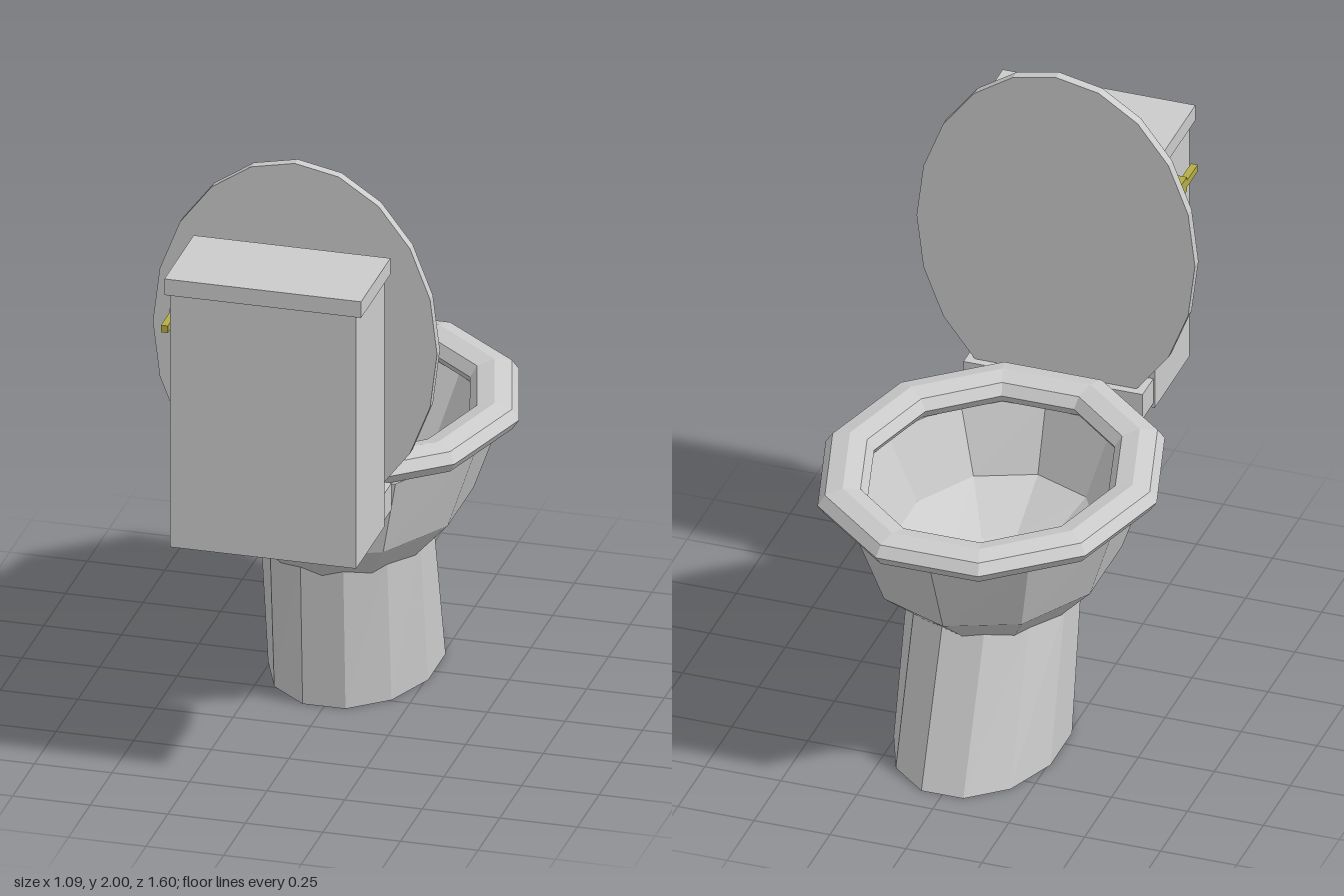
import * as THREE from 'three';

const grey = new THREE.MeshStandardMaterial({ color: 0xcccccc, flatShading: true });
const brass = new THREE.MeshStandardMaterial({ color: 0xb5ad45, flatShading: true });

// Skins a stack of elliptical rings [y, radiusX, radiusZ, centreZ] with a faceted surface.
function loft(rings, sides, phase = 0) {
  const pos = [], index = [];
  for (const [y, rx, rz, cz] of rings) {
    for (let j = 0; j < sides; j++) {
      const a = ((j + phase) / sides) * Math.PI * 2;
      pos.push(rx * Math.sin(a), y, cz + rz * Math.cos(a));
    }
  }
  for (let i = 0; i < rings.length - 1; i++) {
    for (let j = 0; j < sides; j++) {
      const k = (j + 1) % sides;
      const a = i * sides + j, b = i * sides + k, c = b + sides, d = a + sides;
      index.push(a, b, c, a, c, d);
    }
  }
  const geo = new THREE.BufferGeometry();
  geo.setAttribute('position', new THREE.Float32BufferAttribute(pos, 3));
  geo.setIndex(index);
  geo.computeVertexNormals();
  return geo;
}

export function createModel() {
  const model = new THREE.Group();
  model.name = 'toilet';

  const add = (name, geo, material = grey) => {
    const mesh = new THREE.Mesh(geo, material);
    mesh.name = name;
    model.add(mesh);
    return mesh;
  };
  // Box given by its extents along each axis
  const box = (name, [x0, x1], [y0, y1], [z0, z1], material) =>
    add(name, new THREE.BoxGeometry(x1 - x0, y1 - y0, z1 - z0), material)
      .position.set((x0 + x1) / 2, (y0 + y1) / 2, (z0 + z1) / 2);

  // Leaning twelve-sided foot
  add('pedestal', loft([
    [0, 0, 0, -0.283],
    [0, 0.267, 0.391, -0.283],
    [0.505, 0.267, 0.301, -0.17],
    [0.505, 0, 0, -0.17],
  ], 12, 0.5));

  // Bowl: up the outside, over the lip, down the inside
  add('bowl', loft([
    [0.45, 0, 0, -0.17],
    [0.45, 0.24, 0.28, -0.17],
    [0.61, 0.385, 0.485, -0.17],
    [0.875, 0.48, 0.58, -0.19],
    [0.875, 0.42, 0.5, -0.195],
    [0.65, 0.315, 0.4, -0.17],
    [0.54, 0.173, 0.2, -0.17],
    [0.52, 0.085, 0.14, -0.17],
    [0.52, 0, 0, -0.17],
  ], 10));

  // Seat: flattened ten-sided ring with an octagonal section
  const section = [];
  for (let i = 0; i <= 8; i++) {
    const t = (i / 8) * Math.PI * 2;
    section.push([
      0.912 + 0.048 * Math.sin(t),
      0.465 + 0.08 * Math.cos(t),
      0.543 + 0.087 * Math.cos(t),
      -0.205,
    ]);
  }
  add('seat', loft(section, 10, 0.5));

  // Raised oval lid
  const lid = add('lid', new THREE.CylinderGeometry(1, 1, 1, 20));
  lid.rotation.x = Math.PI / 2;
  lid.scale.set(0.458, 0.033, 0.595);
  lid.position.set(0, 1.405, 0.413);

  // Tank, its cover and the hinge block joining it to the bowl
  box('hingeBlock', [-0.295, 0.295], [0.83, 0.92], [0.37, 0.48]);
  box('tank', [-0.3, 0.3], [0.815, 1.68], [0.47, 0.795]);
  box('tankCover', [-0.317, 0.317], [1.675, 1.73], [0.462, 0.8]);

  // Flush handle on the side of the tank
  box('handleMount', [-0.342, -0.299], [1.51, 1.56], [0.59, 0.65], brass);
  box('handleLever', [-0.342, -0.32], [1.523, 1.547], [0.64, 0.75], brass);

  return model;
}
